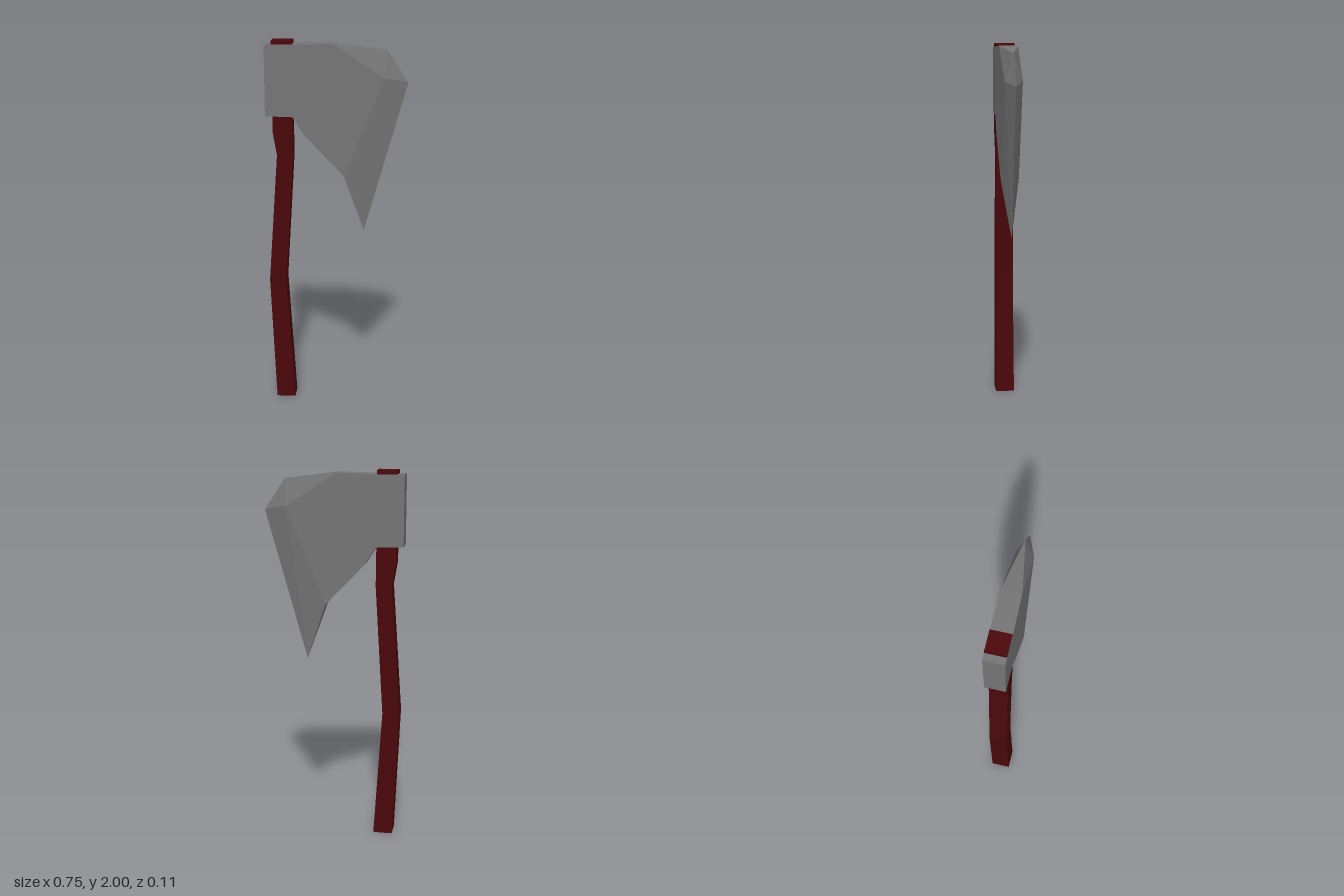
import * as THREE from 'three';

// Handle cross-sections from bottom to top: [y, left x, right x, half depth]
const SECTIONS = [
  [0, -0.335, -0.232, 0.052],
  [0.7, -0.365, -0.274, 0.049],
  [1.4, -0.315, -0.23, 0.049],
  [1.52, -0.335, -0.232, 0.052],
  [2, -0.337, -0.23, 0.052],
];

// Head points: [x, y, half depth]; depth 0 lies on the cutting edge
const P = {
  pollTop: [-0.374, 1.98, 0.053],
  neckTop: [-0.23, 1.98, 0.053],
  crown: [-0.02, 1.985, 0.0502],
  ridge: [0.25, 1.81, 0.0468],
  heel: [0.04, 1.288, 0.0494],
  beard: [-0.168, 1.508, 0.0525],
  neckBottom: [-0.23, 1.604, 0.053],
  pollBottom: [-0.374, 1.608, 0.053],
  edgeTop: [0.263, 1.95, 0],
  edgeNose: [0.373, 1.785, 0],
  edgeTip: [0.146, 0.978, 0],
};

function createHandle(material) {
  const geo = new THREE.BoxGeometry(1, 1, 1, 1, SECTIONS.length - 1, 1);
  const pos = geo.attributes.position;
  for (let i = 0; i < pos.count; i++) {
    const level = Math.round((pos.getY(i) + 0.5) * (SECTIONS.length - 1));
    const [y, left, right, depth] = SECTIONS[level];
    pos.setXYZ(i, pos.getX(i) < 0 ? left : right, y, Math.sign(pos.getZ(i)) * depth);
  }
  geo.computeVertexNormals();
  return new THREE.Mesh(geo, material);
}

function createHead(material) {
  const verts = [];
  const at = (name, side) => [P[name][0], P[name][1], P[name][2] * side];
  const tri = (a, b, c) => verts.push(...a, ...b, ...c);

  // Cheeks and bevels, mirrored front to back
  const faces = [
    'pollTop pollBottom neckBottom', 'pollTop neckBottom neckTop',
    'neckTop neckBottom crown', 'neckBottom beard crown',
    'beard heel crown', 'heel ridge crown',
    'heel edgeTip ridge', 'edgeTip edgeNose ridge',
    'ridge edgeNose edgeTop', 'ridge edgeTop crown',
  ];
  for (const face of faces) {
    const [a, b, c] = face.split(' ');
    tri(at(a, 1), at(b, 1), at(c, 1));
    tri(at(a, -1), at(c, -1), at(b, -1));
  }

  // Rim around the poll and beard, closed by wedges at both ends of the edge
  const rim = ['edgeTop', 'crown', 'neckTop', 'pollTop', 'pollBottom', 'neckBottom', 'beard', 'heel', 'edgeTip'];
  for (let i = 0; i < rim.length - 1; i++) {
    const p = rim[i], q = rim[i + 1];
    if (P[p][2] > 0) tri(at(p, 1), at(p, -1), at(q, -1));
    if (P[q][2] > 0) tri(at(p, 1), at(q, -1), at(q, 1));
  }

  const geo = new THREE.BufferGeometry();
  geo.setAttribute('position', new THREE.Float32BufferAttribute(verts, 3));
  geo.computeVertexNormals();
  return new THREE.Mesh(geo, material);
}

export function createModel() {
  const group = new THREE.Group();
  group.name = 'axe';
  const wood = new THREE.MeshStandardMaterial({ color: 0x4a080c, flatShading: true });
  const steel = new THREE.MeshStandardMaterial({ color: 0x757575, flatShading: true });

  const handle = createHandle(wood);
  handle.name = 'handle';
  const head = createHead(steel);
  head.name = 'axeHead';
  group.add(handle, head);
  return group;
}
